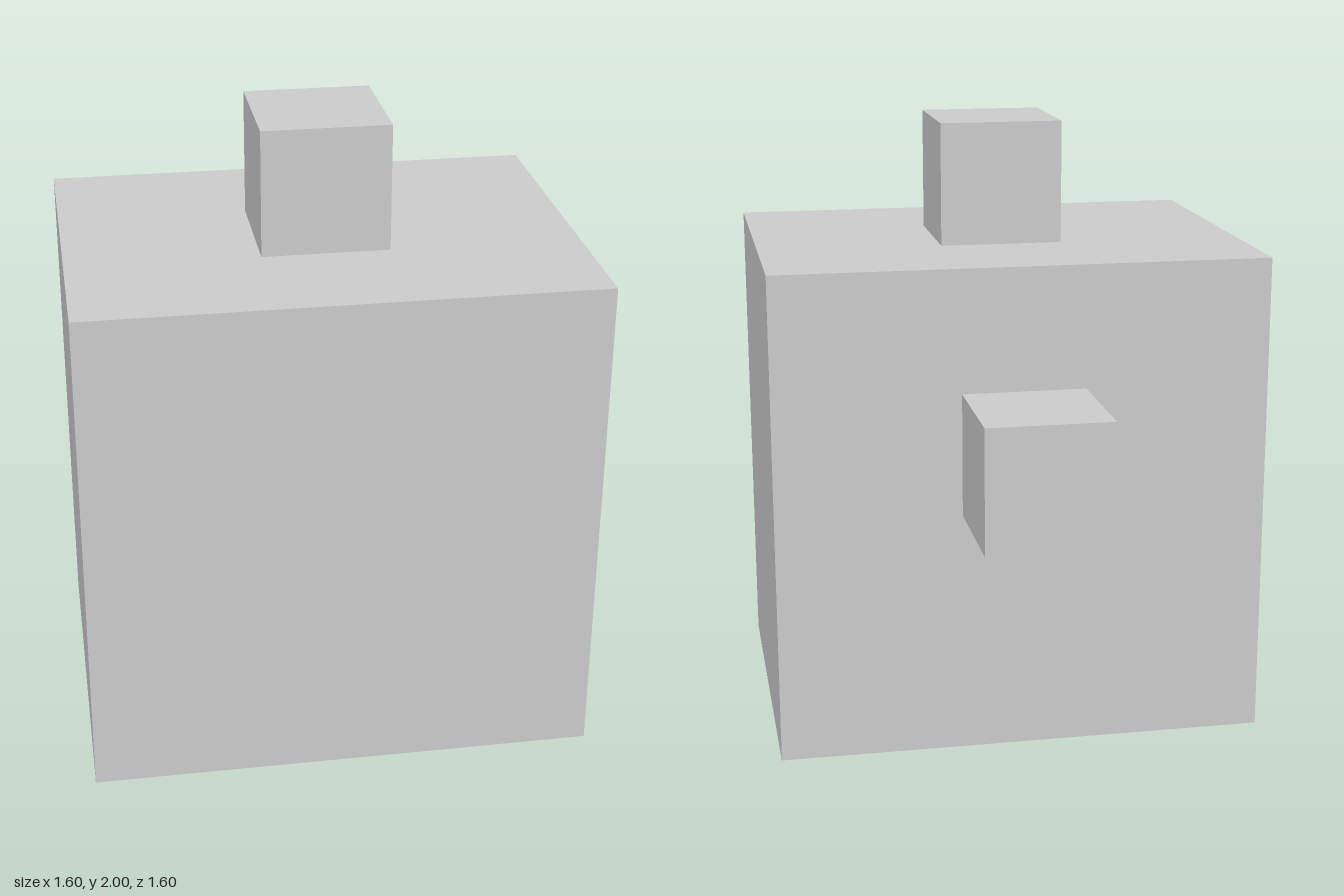
import * as THREE from 'three';

const material = new THREE.MeshStandardMaterial({ color: 0xcccccc, flatShading: true });

// Box given by its size and centre
function block(name, size, centre) {
  const mesh = new THREE.Mesh(new THREE.BoxGeometry(...size), material);
  mesh.name = name;
  mesh.position.set(...centre);
  return mesh;
}

export function createModel() {
  const group = new THREE.Group();
  group.name = 'blockWithStuds';

  group.add(
    // Main body
    block('body', [1.6, 1.6, 1.2], [0, 0.8, 0.2]),
    // Cube standing on the top face
    block('topStud', [0.4, 0.4, 0.4], [0, 1.8, 0.2]),
    // Cube projecting from the back face
    block('backStud', [0.4, 0.4, 0.4], [0, 1.0, -0.6]),
  );
  return group;
}
